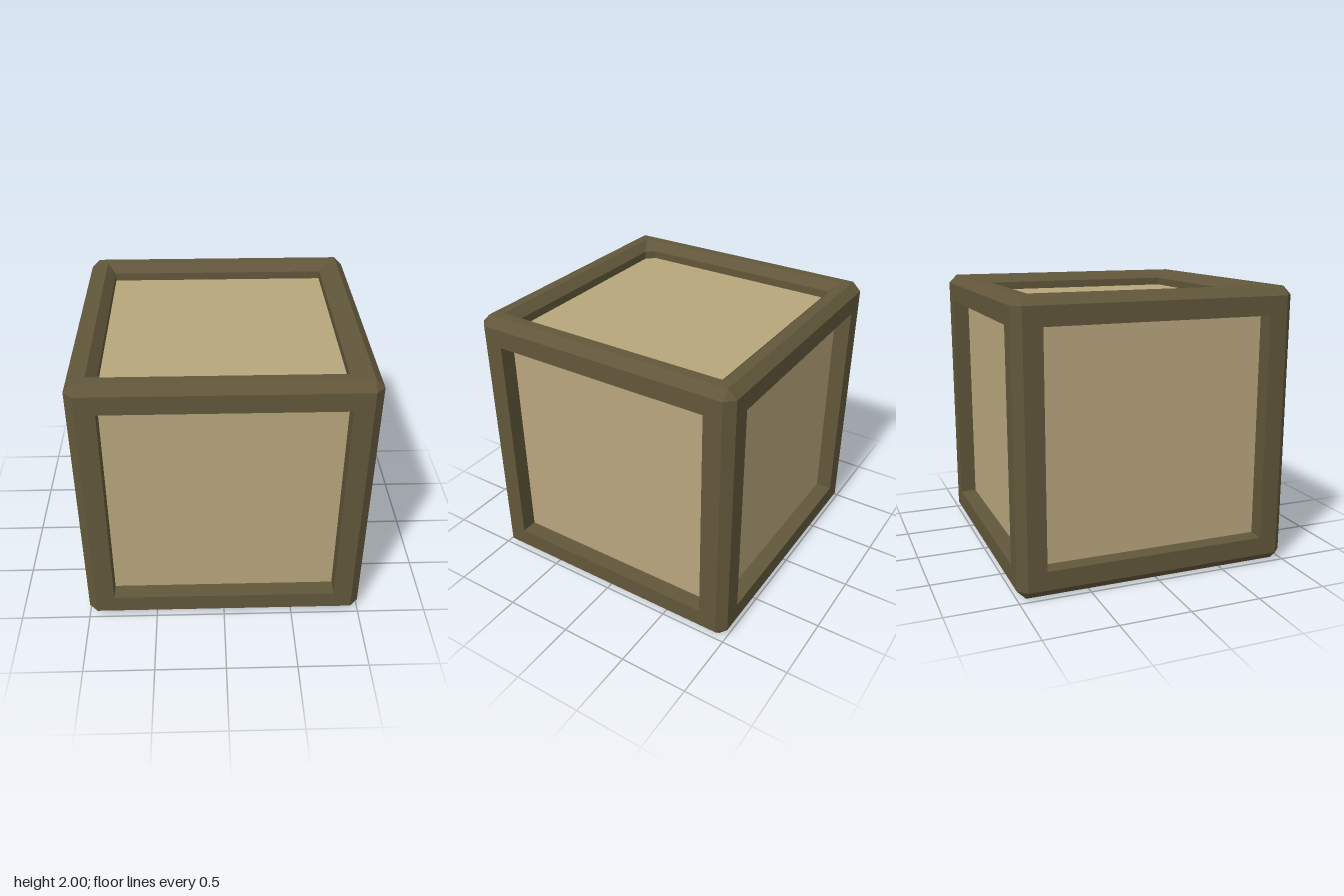
import * as THREE from 'three';

const EDGE = 0.938;    // where the outer chamfer starts
const OPEN = 0.805;    // half width of each opening
const BEVEL = 0.867;   // outer edge of the bevelled top opening
const FLOOR = 0.88;    // distance of the panels from the centre
const NOTCH = 0.06;    // cut corner in the top opening

function flat(positions) {
  const g = new THREE.BufferGeometry();
  g.setAttribute('position', new THREE.Float32BufferAttribute(positions, 3));
  g.computeVertexNormals();
  return g;
}

// Five-point square ring, counter-clockwise; the first corner can be cut
function ring(h, z, cut = 0) {
  return [[-h + cut, -h, z], [h, -h, z], [h, h, z], [-h, h, z], [-h, -h + cut, z]];
}

// Joins successive rings, from the outside inwards
function ringStrips(rings) {
  const out = [];
  const tri = (a, b, c) => {
    const same = (p, q) => p.every((v, i) => v === q[i]);
    if (!same(a, b) && !same(b, c) && !same(a, c)) out.push(...a, ...b, ...c);
  };
  for (let r = 0; r < rings.length - 1; r++) {
    for (let i = 0; i < 5; i++) {
      const j = (i + 1) % 5;
      const A = rings[r], B = rings[r + 1];
      tri(A[i], A[j], B[j]);
      tri(A[i], B[j], B[i]);
    }
  }
  return flat(out);
}

// Chamfers along the twelve edges and across the eight corners
function chamfers() {
  const out = [];
  const tri = (a, b, c) => {
    const [p, q, r] = [a, b, c].map((v) => new THREE.Vector3(...v));
    const n = q.clone().sub(p).cross(r.clone().sub(p));
    if (n.dot(p) > 0) out.push(...a, ...b, ...c);
    else out.push(...a, ...c, ...b);
  };
  const e = EDGE;
  for (let axis = 0; axis < 3; axis++) {
    for (const s of [-1, 1]) for (const t of [-1, 1]) {
      const at = (along, u, v) => {
        const p = [0, 0, 0];
        p[axis] = along;
        p[(axis + 1) % 3] = u * s;
        p[(axis + 2) % 3] = v * t;
        return p;
      };
      const a = at(-e, 1, e), b = at(e, 1, e), c = at(e, e, 1), d = at(-e, e, 1);
      tri(a, b, c);
      tri(a, c, d);
    }
  }
  for (const x of [-1, 1]) for (const y of [-1, 1]) for (const z of [-1, 1]) {
    tri([x, y * e, z * e], [x * e, y, z * e], [x * e, y * e, z]);
  }
  return flat(out);
}

export function createModel() {
  const model = new THREE.Group();
  model.name = 'framedCrate';

  const frameMat = new THREE.MeshStandardMaterial({ color: 0x62573b });
  frameMat.name = 'darkFrame';
  const panelMat = new THREE.MeshStandardMaterial({ color: 0xb8a67c });
  panelMat.name = 'tanPanel';

  const edges = new THREE.Mesh(chamfers(), frameMat);
  edges.name = 'frameChamfers';
  edges.position.y = 1;
  model.add(edges);

  // Straight openings on the sides and bottom, a bevelled one on top
  const plainFrame = ringStrips([ring(EDGE, 1), ring(OPEN, 1), ring(OPEN, FLOOR)]);
  const topFrame = ringStrips([
    ring(EDGE, 1), ring(BEVEL, 1), ring(OPEN, EDGE, NOTCH), ring(OPEN, FLOOR, NOTCH),
  ]);
  const panelGeo = new THREE.BoxGeometry(OPEN * 2, OPEN * 2, 0.02);

  const q = Math.PI / 2;
  const sides = [
    ['front', 0, 0], ['left', 0, q], ['back', 0, 2 * q], ['right', 0, -q],
    ['top', -q, 0], ['bottom', q, 0],
  ];
  for (const [name, rx, ry] of sides) {
    const side = new THREE.Group();
    side.name = name + 'Side';
    side.position.y = 1;
    side.rotation.set(rx, ry, 0);
    const frame = new THREE.Mesh(name === 'top' ? topFrame : plainFrame, frameMat);
    frame.name = name + 'Frame';
    const panel = new THREE.Mesh(panelGeo, panelMat);
    panel.name = name + 'Panel';
    panel.position.z = FLOOR - 0.01;
    side.add(frame, panel);
    model.add(side);
  }
  return model;
}
